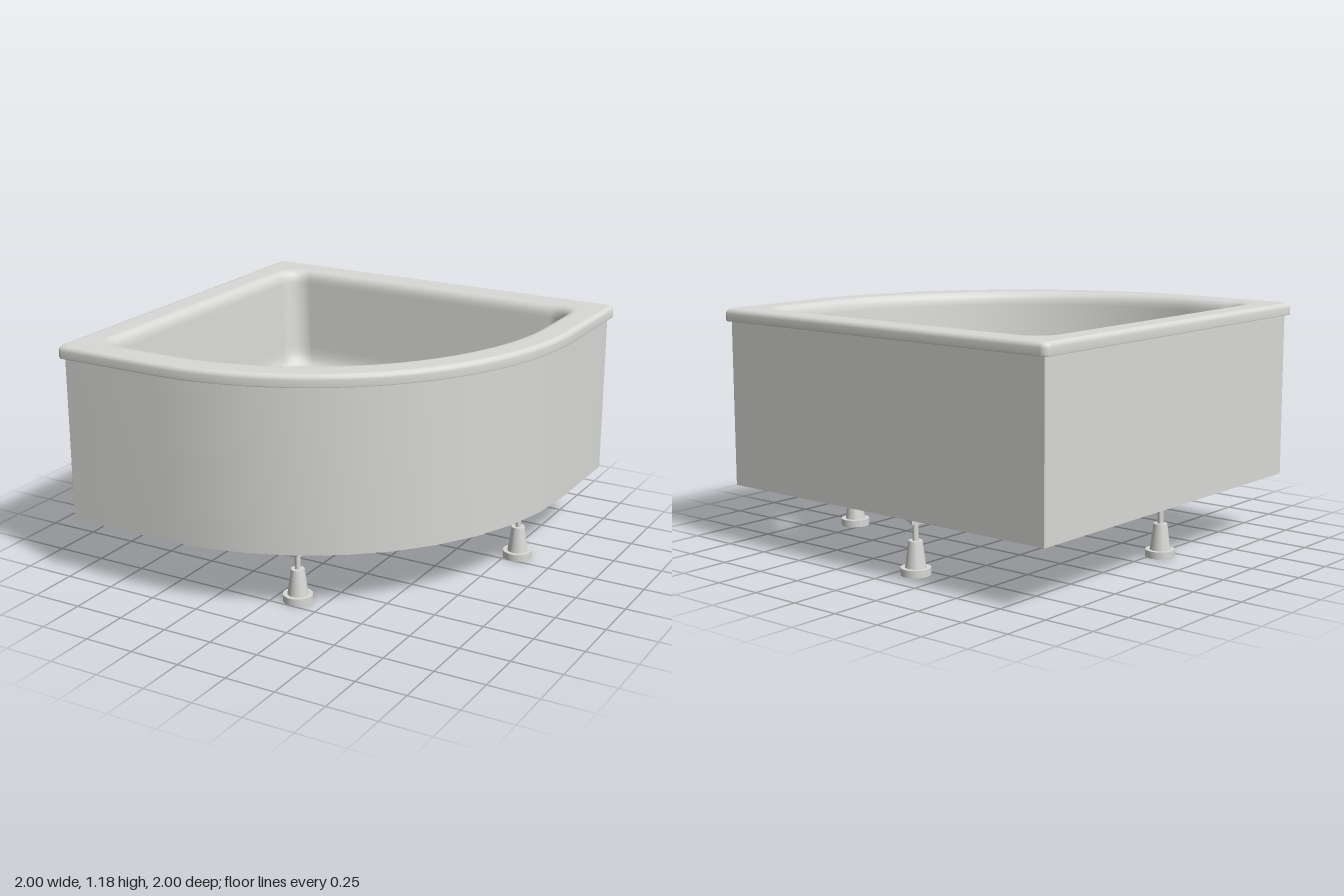
import * as THREE from 'three';
import { toCreasedNormals } from 'three/addons/utils/BufferGeometryUtils.js';

const ARC_CENTRE = -0.45;
const FLOOR_Y = 0.65;

// Quadrant plan inset by d: three rounded square corners and one large front arc, as [x, z]
function outline(d, r, cornerSegs = 8, arcSegs = 40) {
  const e = 1 - d;
  const pts = [];
  const arc = (cx, cz, radius, from, segs) => {
    for (let i = 0; i <= segs; i++) {
      const a = from + (i / segs) * Math.PI / 2;
      pts.push([cx + radius * Math.cos(a), cz + radius * Math.sin(a)]);
    }
  };
  arc(-e + r, -e + r, r, Math.PI, cornerSegs);
  arc(e - r, -e + r, r, Math.PI * 1.5, cornerSegs);
  arc(ARC_CENTRE, ARC_CENTRE, e - ARC_CENTRE, 0, arcSegs);
  arc(-e + r, e - r, r, Math.PI / 2, cornerSegs);
  return pts;
}

// Smooth skin through plan rings given as [inset, y, corner radius]
function loft(rings) {
  const pos = [], index = [];
  let n = 0;
  for (const [d, y, r] of rings) {
    const pts = outline(d, r);
    n = pts.length;
    for (const [x, z] of pts) pos.push(x, y, z);
  }
  for (let i = 0; i < rings.length - 1; i++) {
    for (let j = 0; j < n; j++) {
      const k = (j + 1) % n;
      const a = i * n + j, b = a + n, c = (i + 1) * n + k, e = i * n + k;
      index.push(a, b, c, a, c, e);
    }
  }
  const g = new THREE.BufferGeometry();
  g.setAttribute('position', new THREE.Float32BufferAttribute(pos, 3));
  g.setIndex(index);
  g.computeVertexNormals();
  return g;
}

// Plan points run clockwise in shape space, as holes need; solid outlines are reversed
const holePoints = (pts) => pts.map(([x, z]) => new THREE.Vector2(x, -z));
const solidPoints = (pts) => holePoints(pts).reverse();

// Upright slab from a plan shape, standing on y
function slab(shape, y, height) {
  const g = new THREE.ExtrudeGeometry(shape, { depth: height, bevelEnabled: false });
  g.rotateX(-Math.PI / 2);
  g.translate(0, y, 0);
  return toCreasedNormals(g, 0.4);
}

export function createModel() {
  const model = new THREE.Group();
  model.name = 'showerTray';
  const enamel = new THREE.MeshStandardMaterial({ color: 0xd8d8d6 });
  enamel.name = 'light grey enamel';

  const add = (parent, name, geometry) => {
    const mesh = new THREE.Mesh(geometry, enamel);
    mesh.name = name;
    parent.add(mesh);
    return mesh;
  };

  // Rolled rim flowing down into the basin
  add(model, 'rimAndBasin', loft([
    [0.002, 1.116, 0.035], [0, 1.122, 0.035], [0, 1.152, 0.035], [0.003, 1.163, 0.035],
    [0.01, 1.172, 0.035], [0.022, 1.176, 0.035], [0.028, 1.176, 0.035],
    [0.118, 1.176, 0.13], [0.126, 1.176, 0.13], [0.14, 1.173, 0.125], [0.152, 1.166, 0.12],
    [0.162, 1.154, 0.115], [0.169, 1.138, 0.11], [0.174, 1.112, 0.11], [0.2, 0.76, 0.11],
    [0.204, 0.72, 0.11], [0.213, 0.688, 0.11], [0.227, 0.666, 0.11], [0.244, 0.654, 0.11],
    [0.262, FLOOR_Y, 0.11], [0.27, FLOOR_Y, 0.11],
  ]));

  // Outside of the basin shell and underside of the rim
  add(model, 'basinUnderside', loft([
    [0.27, 0.625, 0.11], [0.245, 0.626, 0.11], [0.215, 0.635, 0.11], [0.192, 0.66, 0.11],
    [0.182, 0.71, 0.11], [0.15, 1.09, 0.11], [0.14, 1.116, 0.11],
  ]));
  add(model, 'rimUnderside', loft([[0.14, 1.116, 0.11], [0.002, 1.116, 0.035]]));

  // Floor with the drain opening
  const drain = new THREE.Vector2(0.6, -0.605);
  const floorShape = new THREE.Shape(solidPoints(outline(0.27, 0.11)));
  const opening = new THREE.Path();
  opening.absarc(drain.x, -drain.y, 0.1, 0, Math.PI * 2, true);
  floorShape.holes.push(opening);
  add(model, 'basinFloor', slab(floorShape, 0.625, FLOOR_Y - 0.625));

  // Dished drain collar
  const collar = [
    [0.101, 0], [0.096, -0.001], [0.088, -0.006], [0.079, -0.012], [0.072, -0.016],
    [0.069, -0.022], [0.069, -0.035], [0.101, -0.035], [0.101, -0.02],
  ].map(([r, y]) => new THREE.Vector2(r, y));
  add(model, 'drainCollar', toCreasedNormals(new THREE.LatheGeometry(collar, 48), 0.7))
    .position.set(drain.x, FLOOR_Y, drain.y);

  // Hollow apron panel below the rim
  const apron = new THREE.Shape(solidPoints(outline(0.028, 0.004, 1, 10)));
  apron.holes.push(new THREE.Path(holePoints(outline(0.053, 0.004, 1, 10))));
  add(model, 'apronPanel', slab(apron, 0.3, 0.816));

  // Adjustable foot: pad, tapered body, threaded rod and nut
  const footProfile = [
    [0, 0], [0.072, 0], [0.072, 0.035], [0.05, 0.035], [0.033, 0.163], [0.014, 0.163],
    [0.014, 0.236], [0.02, 0.236], [0.02, 0.254],
  ].map(([r, y]) => new THREE.Vector2(r, y));
  const footGeometry = toCreasedNormals(new THREE.LatheGeometry(footProfile, 32), 0.5);

  // Two parallel diagonal support bars, each with a foot near either end
  const barGeometry = new THREE.BoxGeometry(1.156, 0.05, 0.07);
  [[-0.336, 0.421], [0.354, -0.57]].forEach(([x, z], i) => {
    const support = new THREE.Group();
    support.name = i === 0 ? 'frontSupport' : 'backSupport';
    support.position.set(x, 0, z);
    support.rotation.y = -Math.atan2(0.51, 0.9);
    add(support, 'supportBar', barGeometry).position.y = 0.278;
    for (const side of [-1, 1]) {
      add(support, 'foot', footGeometry).position.x = side * 0.517;
    }
    model.add(support);
  });

  return model;
}
